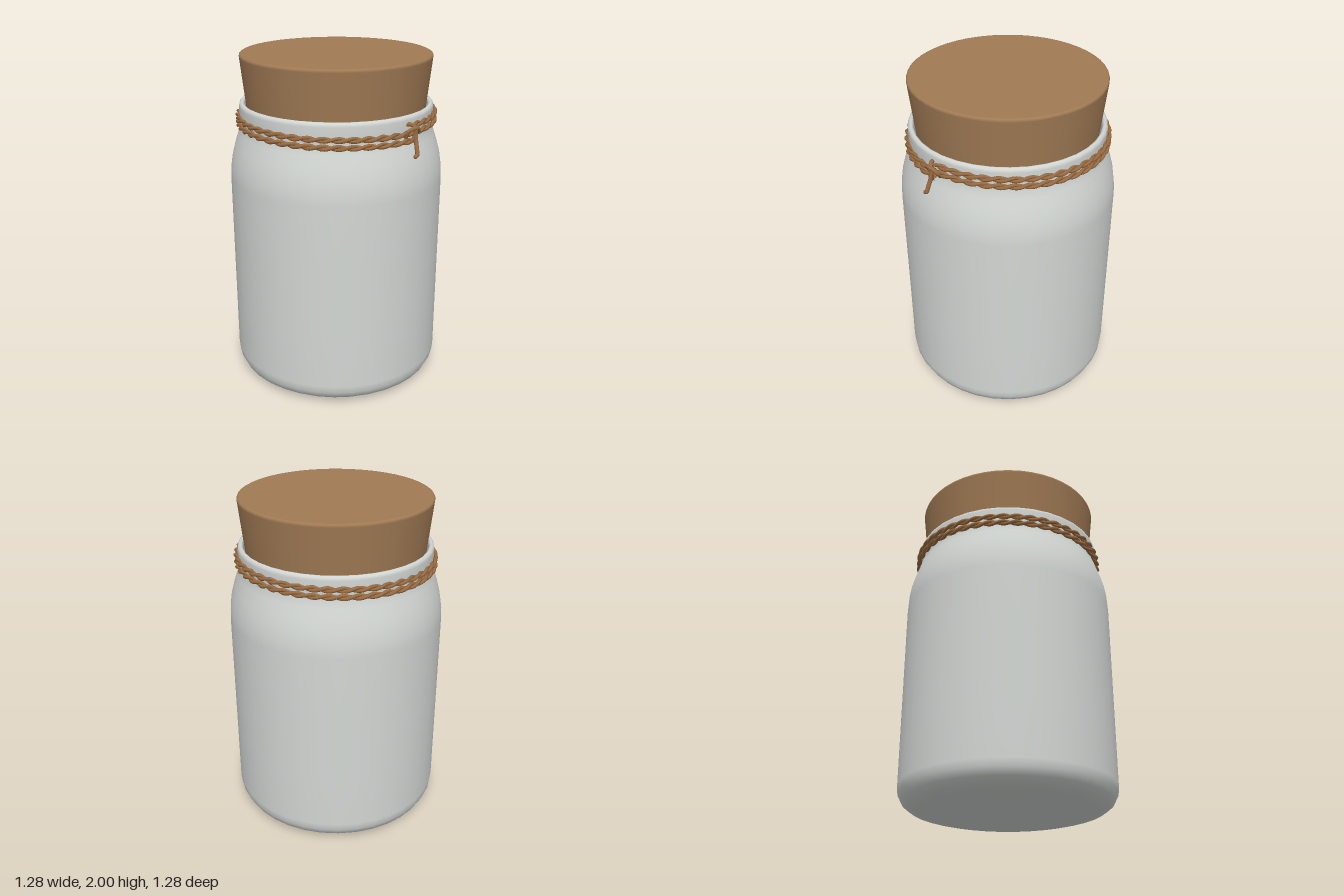
import * as THREE from 'three';

const glass = new THREE.MeshStandardMaterial({ name: 'frosted glass', color: 0xd3d7d4 });
const cork = new THREE.MeshStandardMaterial({ name: 'cork', color: 0xa07a54 });
const twine = new THREE.MeshStandardMaterial({ name: 'twine', color: 0x9a6d43 });

// Revolve a short [radius, height] profile around y
function lathe(name, profile, material, segments) {
  const geo = new THREE.LatheGeometry(profile.map(([r, y]) => new THREE.Vector2(r, y)), segments);
  const mesh = new THREE.Mesh(geo, material);
  mesh.name = name;
  return mesh;
}

function tube(name, curve, segments, radius, sides) {
  const mesh = new THREE.Mesh(new THREE.TubeGeometry(curve, segments, radius, sides), twine);
  mesh.name = name;
  return mesh;
}

// Strand of a two-ply cord wound down the neck for two turns
class StrandCurve extends THREE.Curve {
  constructor(phase) {
    super();
    this.phase = phase;
  }
  getPoint(t, target = new THREE.Vector3()) {
    const a = KNOT_ANGLE + t * Math.PI * 4;
    const twist = this.phase + t * Math.PI * 2 * 44;
    const r = 0.581 + 0.009 * Math.cos(twist);
    const y = 1.665 - 0.086 * t + 0.009 * Math.sin(twist);
    return target.set(r * Math.sin(a), y, r * Math.cos(a));
  }
}
const KNOT_ANGLE = 0.645;

export function createModel() {
  const group = new THREE.Group();
  group.name = 'corked jar';

  // Jar: rounded foot, straight wall, shoulder, neck, lip and inner mouth
  group.add(lathe('jar', [
    [0, 0], [0.515, 0], [0.525, 0.001], [0.575, 0.014], [0.615, 0.043], [0.636, 0.085], [0.641, 0.13],
    [0.641, 0.5], [0.641, 0.9], [0.641, 1.27], [0.638, 1.33], [0.627, 1.4], [0.608, 1.47],
    [0.585, 1.54], [0.572, 1.58], [0.572, 1.61], [0.576, 1.63], [0.576, 1.695],
    [0.573, 1.711], [0.562, 1.719], [0.554, 1.719], [0.546, 1.712], [0.543, 1.7], [0.543, 1.5],
  ], glass, 36));

  // Tapered cork with a small bevel on the top edge
  group.add(lathe('cork stopper', [
    [0, 1.52], [0.513, 1.52], [0.515, 1.522], [0.536, 1.72], [0.564, 1.982], [0.565, 1.988],
    [0.562, 1.996], [0.555, 2], [0.55, 2], [0, 2],
  ], cork, 48));

  // Twisted cord
  const cord = new THREE.Group();
  cord.name = 'neck cord';
  for (const phase of [0, Math.PI]) {
    cord.add(tube('cord strand', new StrandCurve(phase), 528, 0.0105, 6));
  }
  group.add(cord);

  // Knot: local x runs along the neck, z points outward
  const knot = new THREE.Group();
  knot.name = 'cord knot';
  knot.rotation.y = KNOT_ANGLE;
  const path = (pts) => new THREE.CatmullRomCurve3(pts.map((p) => new THREE.Vector3(...p)));
  knot.add(tube('knot loop', path([
    [-0.045, 1.6, 0.575], [-0.045, 1.64, 0.597], [-0.02, 1.655, 0.612], [0.015, 1.65, 0.612],
    [0.035, 1.63, 0.6], [0.03, 1.6, 0.575],
  ]), 24, 0.012, 8));
  knot.add(tube('knot wrap', path([
    [-0.03, 1.67, 0.565], [-0.02, 1.675, 0.59], [-0.005, 1.655, 0.612], [-0.005, 1.61, 0.608],
    [-0.015, 1.575, 0.595],
  ]), 24, 0.012, 8));
  const tail = path([
    [0.01, 1.66, 0.6], [0.0, 1.625, 0.612], [-0.005, 1.585, 0.618], [-0.012, 1.54, 0.632],
    [-0.018, 1.51, 0.64], [-0.03, 1.503, 0.638],
  ]);
  knot.add(tube('knot tail', tail, 24, 0.012, 8));

  // Rounded tail end
  const tip = new THREE.Mesh(new THREE.SphereGeometry(0.012, 10, 8), twine);
  tip.name = 'tail tip';
  tip.position.copy(tail.getPoint(1));
  knot.add(tip);
  group.add(knot);

  return group;
}
